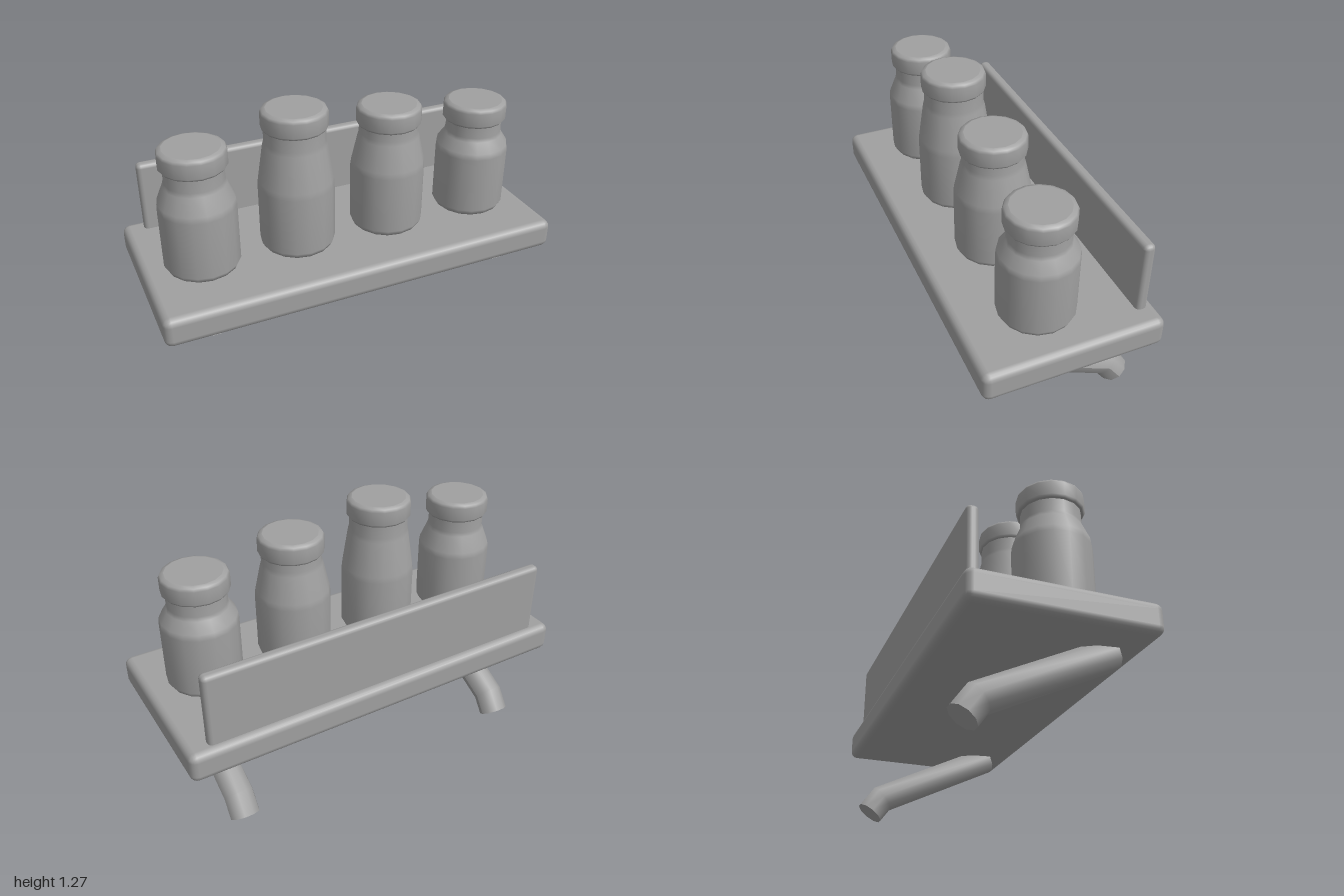
import * as THREE from 'three';
import { RoundedBoxGeometry } from 'three/addons/geometries/RoundedBoxGeometry.js';

const grey = new THREE.MeshStandardMaterial({ color: 0xa0a0a0 });
grey.name = 'grey';

function addMesh(parent, name, geometry, x = 0, y = 0, z = 0) {
  const mesh = new THREE.Mesh(geometry, grey);
  mesh.name = name;
  mesh.position.set(x, y, z);
  parent.add(mesh);
  return mesh;
}

function turned(points) {
  return new THREE.LatheGeometry(points.map(([r, y]) => new THREE.Vector2(r, y)), 16);
}

// Jar with a bevelled foot, sloping shoulder, neck and overhanging lid
function makeJar(neckY, neckRadius, topY) {
  const jar = new THREE.Group();
  jar.name = 'jar';
  const lidY = topY - 0.097;
  addMesh(jar, 'jarBody', turned([
    [0, 0.572], [0.148, 0.572], [0.168, 0.587], [0.181, 0.612], [0.181, 0.9],
    [0.177, 0.93], [neckRadius + 0.006, neckY - 0.02], [neckRadius, neckY], [neckRadius, lidY + 0.02],
  ]));
  addMesh(jar, 'jarLid', turned([
    [0, lidY], [0.147, lidY], [0.156, lidY + 0.012], [0.156, topY - 0.02],
    [0.149, topY - 0.007], [0.132, topY], [0.13, topY], [0, topY],
  ]));
  return jar;
}

// Bent round bracket: a cylinder whose three rings follow a mitred path
function bracketGeometry() {
  const radius = 0.072;
  const path = [[0.425, 0.309], [0.135, -0.295], [0.052, -0.355]]; // y, z
  const normals = [[0.9, -0.435], [0.763 * 1.033, -0.647 * 1.033], [0.577, -0.817]];
  const geometry = new THREE.CylinderGeometry(radius, radius, 1, 10, 2, false, Math.PI / 2);
  const p = geometry.attributes.position;
  for (let i = 0; i < p.count; i++) {
    const ring = Math.round((0.5 - p.getY(i)) * 2);
    const side = -p.getZ(i);
    p.setXYZ(i, p.getX(i),
      path[ring][0] + normals[ring][0] * side,
      path[ring][1] + normals[ring][1] * side);
  }
  geometry.computeVertexNormals();
  return geometry;
}

export function createModel() {
  const model = new THREE.Group();
  model.name = 'jarShelf';

  // Shelf board and upright back panel
  addMesh(model, 'shelfBoard', new RoundedBoxGeometry(2, 0.148, 0.866, 2, 0.036), 0, 0.5, 0);
  addMesh(model, 'backPanel', new RoundedBoxGeometry(1.796, 0.39, 0.056, 2, 0.022), -0.002, 0.735, -0.367);

  // Four jars of different heights
  const jars = [
    [-0.72, 1.03, 0.138, 1.19],
    [-0.242, 1.125, 0.144, 1.285],
    [0.237, 1.08, 0.142, 1.217],
    [0.716, 1.0, 0.138, 1.155],
  ];
  for (const [x, neckY, neckRadius, topY] of jars) {
    const jar = makeJar(neckY, neckRadius, topY);
    jar.position.set(x, 0, 0.067);
    model.add(jar);
  }

  // Brackets under the shelf
  const bracket = bracketGeometry();
  addMesh(model, 'leftBracket', bracket, 0.748);
  addMesh(model, 'rightBracket', bracket, -0.752);

  return model;
}
